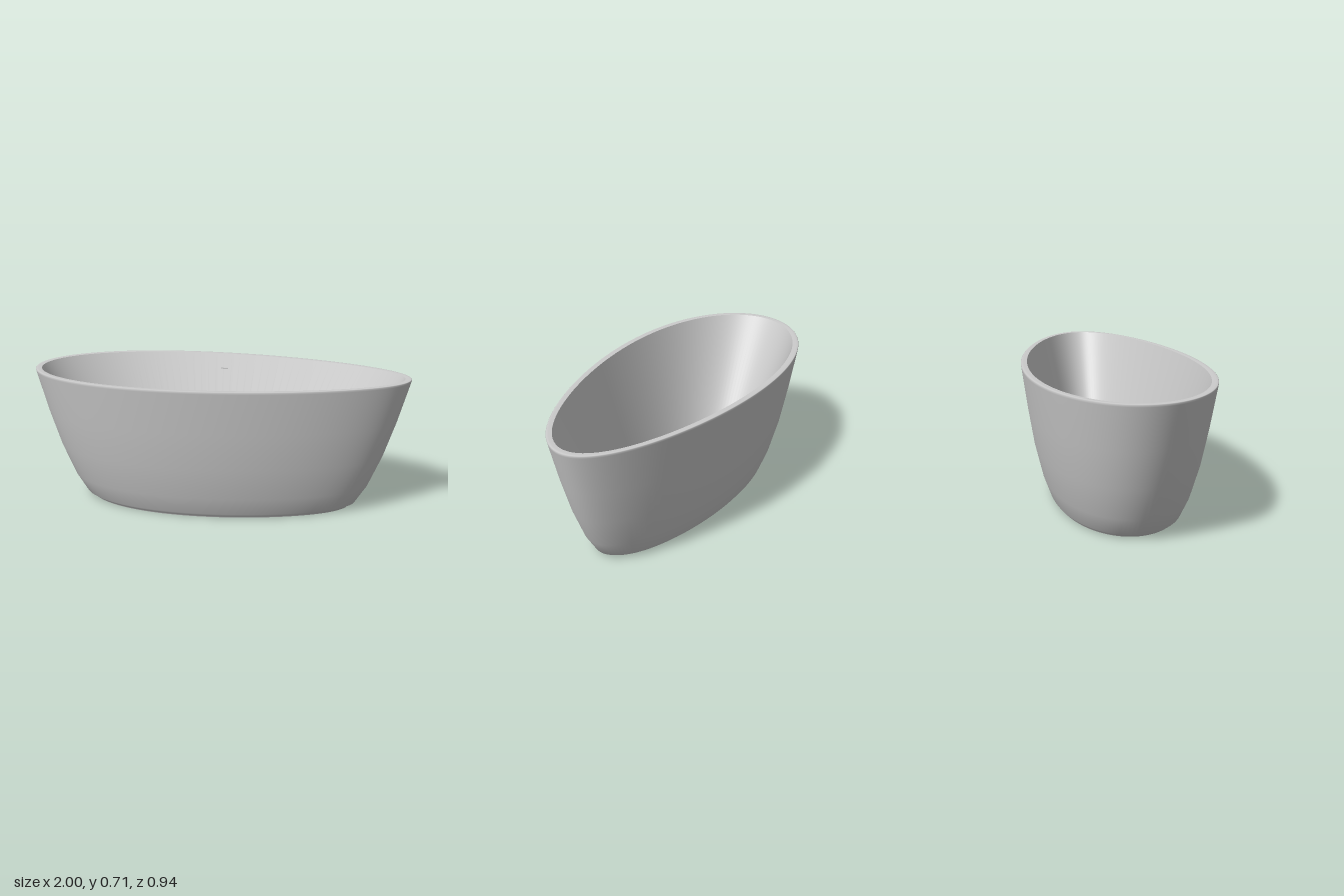
import * as THREE from 'three';

const SEGMENTS = 128;
const EGG = 0.18; // how much blunter the -x end is
const EGG_SCALE = 1 / 1.016; // keeps rz the true half-width

// Egg-shaped plan, half-length rx and half-width rz
function eggPoint(rx, rz, y, t) {
  return [rx * Math.cos(t), y, rz * Math.sin(t) * (1 - EGG * Math.cos(t)) * EGG_SCALE];
}

// Smooth skin through egg rings given as [rx, rz, y]
function loft(rings) {
  const positions = [], index = [];
  for (const [rx, rz, y] of rings) {
    for (let j = 0; j < SEGMENTS; j++) {
      positions.push(...eggPoint(rx, rz, y, (j / SEGMENTS) * Math.PI * 2));
    }
  }
  for (let i = 0; i < rings.length - 1; i++) {
    for (let j = 0; j < SEGMENTS; j++) {
      const k = (j + 1) % SEGMENTS;
      const a = i * SEGMENTS + j, b = i * SEGMENTS + k;
      const c = a + SEGMENTS, d = b + SEGMENTS;
      index.push(a, c, b, b, c, d);
    }
  }
  const geometry = new THREE.BufferGeometry();
  geometry.setAttribute('position', new THREE.Float32BufferAttribute(positions, 3));
  geometry.setIndex(index);
  geometry.computeVertexNormals();
  return geometry;
}

export function createModel() {
  const group = new THREE.Group();
  group.name = 'bathtub';
  const material = new THREE.MeshStandardMaterial({ color: 0xcccccc });
  const add = (name, geometry) => {
    const mesh = new THREE.Mesh(geometry, material);
    mesh.name = name;
    group.add(mesh);
    return mesh;
  };

  // Flat underside
  add('base', loft([[0, 0, 0], [0.715, 0.318, 0]]));

  // Bulging outer wall on a small foot, rolling smoothly over into the rim
  add('outerWallAndRim', loft([
    [0.715, 0.318, 0], [0.72, 0.32, 0.007], [0.75, 0.335, 0.023], [0.81, 0.37, 0.12],
    [0.88, 0.41, 0.29], [0.94, 0.44, 0.48], [0.998, 0.469, 0.695], [1, 0.47, 0.704],
    [0.997, 0.467, 0.707], [0.985, 0.455, 0.707], [0.967, 0.437, 0.706],
  ]));

  // Straight sloping basin wall and flat floor
  add('innerWall', loft([[0.967, 0.437, 0.706], [0.6, 0.243, 0.05]]));
  add('basinFloor', loft([[0.6, 0.243, 0.05], [0, 0, 0.05]]));

  // Slightly domed drain cover
  const drain = add('drain', new THREE.SphereGeometry(0.03, 32, 8, 0, Math.PI * 2, 0, Math.PI / 2));
  drain.scale.y = 0.1;
  drain.position.set(0.41, 0.05, 0);

  // Overflow slot lip on the back inner wall
  const overflow = add('overflow', new THREE.BoxGeometry(0.04, 0.006, 0.014));
  overflow.position.set(-0.04, 0.625, -0.411);

  return group;
}
